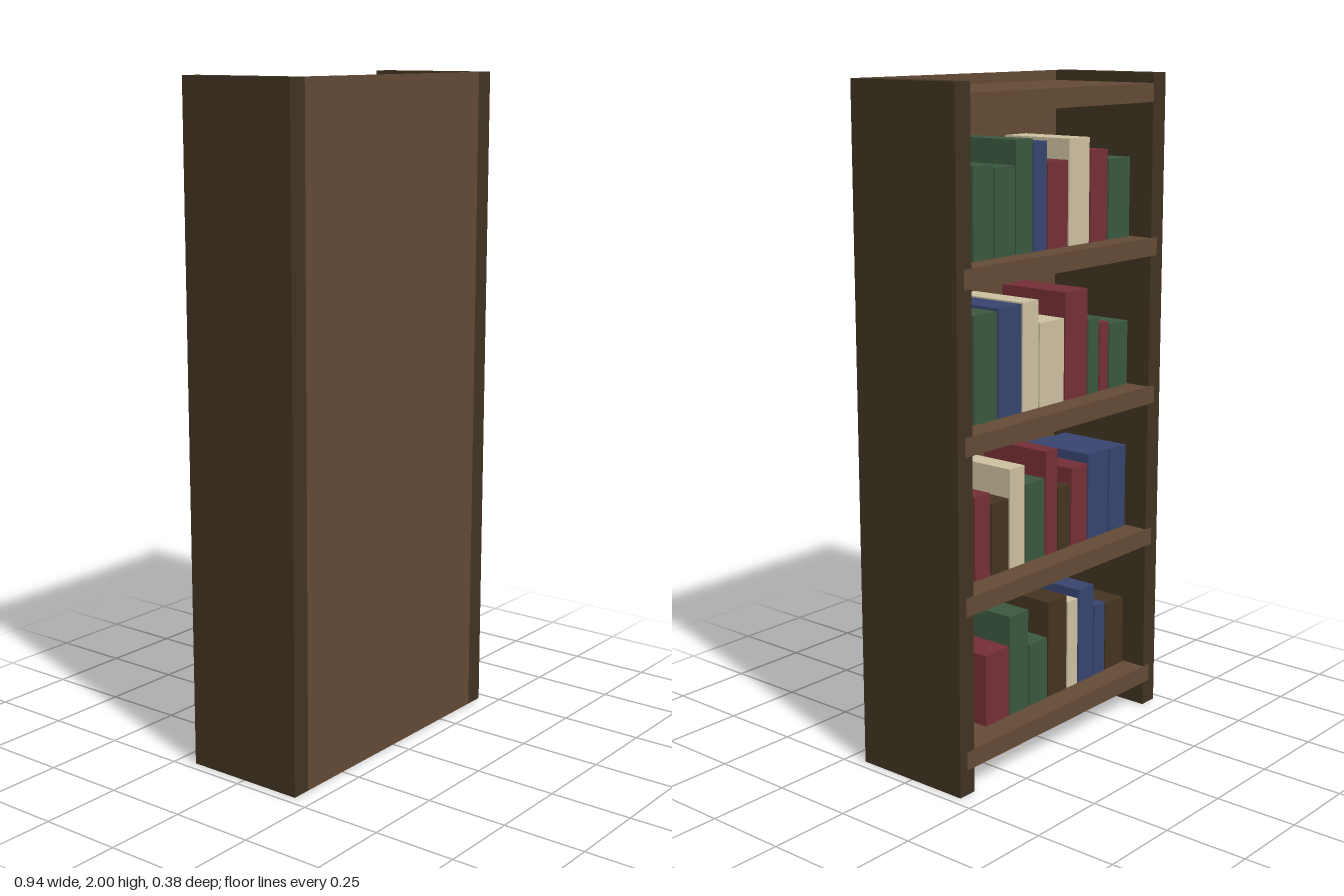
import * as THREE from 'three';

const mat = (name, color) => {
  const m = new THREE.MeshStandardMaterial({ color });
  m.name = name;
  return m;
};

export function createModel() {
  const group = new THREE.Group();
  group.name = 'bookcase';

  const darkWood = mat('darkWood', 0x403321);
  const wood = mat('wood', 0x634a35);
  const covers = {
    r: mat('redCover', 0x742f36),
    g: mat('greenCover', 0x3a5840),
    b: mat('blueCover', 0x37446f),
    c: mat('creamCover', 0xcdc0a0),
    d: mat('darkCover', 0x443420),
  };

  // Box given by its min and max corners
  const box = (name, material, [x0, y0, z0], [x1, y1, z1], parent = group) => {
    const mesh = new THREE.Mesh(new THREE.BoxGeometry(x1 - x0, y1 - y0, z1 - z0), material);
    mesh.position.set((x0 + x1) / 2, (y0 + y1) / 2, (z0 + z1) / 2);
    mesh.name = name;
    parent.add(mesh);
  };

  // Side boards and the panel closing the +z side
  box('leftSide', darkWood, [0.41, 0, -0.19], [0.47, 2, 0.19]);
  box('rightSide', darkWood, [-0.47, 0, -0.19], [-0.41, 2, 0.19]);
  box('panel', wood, [-0.41, 0, 0.18], [0.41, 2, 0.19]);

  // Five boards, let into the sides; the highest is the top
  const pitch = 0.46, firstShelf = 0.075, thickness = 0.055;
  for (let i = 0; i < 5; i++) {
    const y = firstShelf + i * pitch;
    const half = i < 4 ? 0.44 : 0.41;
    box(i < 4 ? 'shelf' : 'topBoard', wood, [-half, y, -0.191], [half, y + thickness, 0.18]);
  }

  // Books per shelf, bottom row first: cover, +x edge, height
  const rows = [
    [['r', 0.27, 0.22], ['g', 0.16, 0.31], ['g', 0.07, 0.195], ['d', -0.02, 0.305],
      ['c', -0.115, 0.28], ['b', -0.17, 0.305], ['b', -0.25, 0.23], ['d', -0.31, 0.22]],
    [['r', 0.314, 0.25], ['d', 0.243, 0.215], ['c', 0.16, 0.3], ['g', 0.088, 0.24], ['r', -0.005, 0.32],
      ['d', -0.065, 0.195], ['r', -0.128, 0.243], ['b', -0.212, 0.27], ['b', -0.318, 0.265]],
    [['g', 0.314, 0.31], ['b', 0.21, 0.317], ['c', 0.103, 0.32], ['c', 0.026, 0.25],
      ['r', -0.093, 0.325], ['g', -0.205, 0.23], ['r', -0.262, 0.21], ['g', -0.31, 0.2]],
    [['g', 0.314, 0.26], ['g', 0.223, 0.25], ['g', 0.132, 0.32], ['b', 0.054, 0.31],
      ['r', -0.009, 0.25], ['c', -0.107, 0.31], ['r', -0.208, 0.27], ['g', -0.296, 0.24]],
  ];
  rows.forEach((row, i) => {
    const books = new THREE.Group();
    books.name = 'bookRow';
    const y = firstShelf + i * pitch + thickness;
    row.forEach(([cover, x, height], j) => {
      const end = j + 1 < row.length ? row[j + 1][1] + 0.006 : -0.402;
      box('book', covers[cover], [end, y, -0.113], [x, y + height, 0.13], books);
    });
    group.add(books);
  });

  return group;
}
